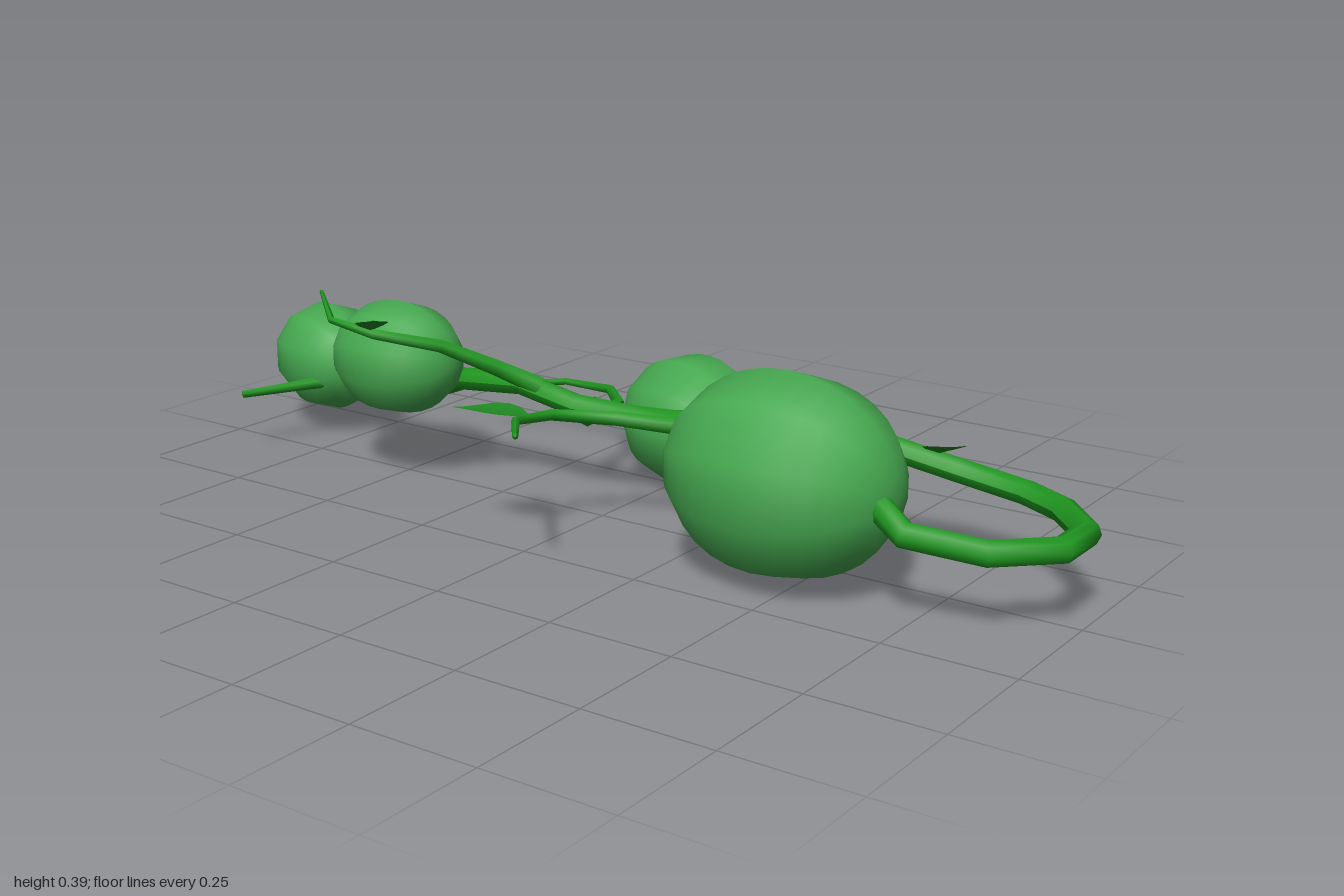
import * as THREE from 'three';

const mat = (name, color, side = THREE.FrontSide) => {
  const m = new THREE.MeshStandardMaterial({ color, side });
  m.name = name;
  return m;
};

// Angular stem through [x, y, z] points, tapering from r0 to r1, closed at both ends
function stemGeometry(points, r0, r1, sides = 8) {
  const p = points.map(a => new THREE.Vector3(...a));
  const last = p.length - 1;
  const cap = (a, b) => a.clone().add(a.clone().sub(b).setLength(0.003));
  const path = [cap(p[0], p[1]), ...p, cap(p[last], p[last - 1])];
  const n = path.length - 1;
  const curve = new THREE.Curve();
  curve.getPoint = (t, target = new THREE.Vector3()) => {
    const i = Math.min(Math.floor(t * n + 1e-9), n - 1);
    return target.lerpVectors(path[i], path[i + 1], t * n - i);
  };
  curve.getUtoTmapping = u => u;
  const geo = new THREE.TubeGeometry(curve, n, 1, sides, false);
  const pos = geo.attributes.position, v = new THREE.Vector3();
  for (let i = 0; i < pos.count; i++) {
    const ring = Math.floor(i / (sides + 1));
    const r = ring === 0 || ring === n ? 0.0005 : r0 + (r1 - r0) * (ring - 1) / last;
    v.fromBufferAttribute(pos, i).sub(path[ring]).multiplyScalar(r).add(path[ring]);
    pos.setXYZ(i, v.x, v.y, v.z);
  }
  geo.computeVertexNormals();
  return geo;
}

// Pointed leaf with a shallow fold along its midrib
function leafGeometry(base, tip, width) {
  const a = new THREE.Vector3(...base), b = new THREE.Vector3(...tip);
  const dir = b.clone().sub(a).normalize();
  const side = dir.clone().cross(new THREE.Vector3(0, 1, 0)).normalize();
  const up = side.clone().cross(dir);
  const widths = [0.05, 0.75, 1, 0.9, 0.55, 0.22, 0];
  const verts = [], index = [];
  widths.forEach((w, i) => {
    const mid = a.clone().lerp(b, i / (widths.length - 1));
    for (const s of [-1, 0, 1]) {
      const q = mid.clone().addScaledVector(side, s * w * width / 2)
        .addScaledVector(up, Math.abs(s) * w * 0.008);
      verts.push(q.x, q.y, q.z);
    }
    if (i > 0) for (const k of [0, 1]) {
      const j = (i - 1) * 3 + k;
      index.push(j, j + 1, j + 3, j + 1, j + 4, j + 3);
    }
  });
  const geo = new THREE.BufferGeometry();
  geo.setAttribute('position', new THREE.Float32BufferAttribute(verts, 3));
  geo.setIndex(index);
  geo.computeVertexNormals();
  return geo;
}

export function createModel() {
  const group = new THREE.Group();
  group.name = 'melonVine';
  const melonMat = mat('melonGreen', 0x46a850);
  const vineMat = mat('vineGreen', 0x1f961f);
  const leafMat = mat('leafGreen', 0x1f8a22, THREE.DoubleSide);
  const add = (name, geo, material) => {
    const mesh = new THREE.Mesh(geo, material);
    mesh.name = name;
    group.add(mesh);
    return mesh;
  };

  // Melons: centre, radii, yaw, roll of the ten-sided section
  const melons = [
    [[-0.1, 0.205, 0.468], [0.182, 0.191, 0.229], 0, Math.PI / 2],
    [[0.277, 0.134, 0.03], [0.135, 0.138, 0.164], -0.25, 0],
    [[-0.038, 0.258, -0.488], [0.115, 0.118, 0.143], 0.1, Math.PI / 2],
    [[0.153, 0.163, -0.86], [0.115, 0.118, 0.145], -0.33, Math.PI / 2],
  ];
  melons.forEach(([c, r, yaw, roll], i) => {
    const geo = new THREE.SphereGeometry(1, 10, 16).rotateX(Math.PI / 2).rotateZ(roll);
    geo.scale(...r).rotateY(yaw);
    add('melon' + (i + 1), geo, melonMat).position.set(...c);
  });

  // Main vine, hooked at the front
  add('mainVine', stemGeometry([
    [-0.13, 0.205, 0.66], [-0.16, 0.165, 0.74], [-0.13, 0.153, 0.88], [-0.04, 0.153, 0.972],
    [0.06, 0.153, 0.972], [0.15, 0.153, 0.89], [0.195, 0.155, 0.8], [0.195, 0.172, 0.66],
    [0.15, 0.205, 0.55], [0.125, 0.225, 0.42], [0.11, 0.208, 0.25], [0.11, 0.185, 0.1],
    [0.11, 0.178, 0], [0.075, 0.19, -0.12], [0.065, 0.217, -0.25], [0.07, 0.2, -0.41],
    [0.14, 0.15, -0.53], [0.148, 0.13, -0.67], [0.125, 0.125, -0.76],
  ], 0.025, 0.024), vineMat);

  // Side branches
  const branches = [
    [[[0.11, 0.2, 0.25], [0.005, 0.215, 0.19], [-0.05, 0.225, 0.07], [-0.15, 0.243, -0.01],
      [-0.27, 0.262, 0], [-0.41, 0.287, 0.11]], 0.019, 0.006],
    [[[0.1, 0.19, -0.09], [0.14, 0.142, -0.14], [0.28, 0.138, -0.16], [0.375, 0.133, -0.25],
      [0.39, 0.126, -0.38], [0.325, 0.11, -0.53]], 0.018, 0.005],
    [[[0.065, 0.217, -0.2], [0.02, 0.255, -0.28], [-0.1, 0.318, -0.32], [-0.165, 0.338, -0.44],
      [-0.155, 0.347, -0.56], [-0.045, 0.368, -0.69]], 0.02, 0.004],
    [[[0.135, 0.128, -0.76], [0.04, 0.13, -0.81], [-0.1, 0.126, -0.88]], 0.017, 0.008],
  ];
  branches.forEach(([pts, r0, r1], i) => add('branch' + (i + 1), stemGeometry(pts, r0, r1, 6), vineMat));

  // Leaves: base, tip, width
  const leaves = [
    [[0.172, 0.205, 0.635], [0.075, 0.255, 0.71], 0.08],
    [[0.125, 0.19, 0.258], [0.247, 0.145, 0.24], 0.09],
    [[-0.22, 0.258, -0.005], [-0.285, 0.268, -0.14], 0.08],
    [[-0.165, 0.345, -0.445], [-0.238, 0.39, -0.37], 0.065],
    [[0.125, 0.145, -0.605], [0.04, 0.2, -0.69], 0.08],
  ];
  leaves.forEach(([a, b, w], i) => add('leaf' + (i + 1), leafGeometry(a, b, w), leafMat));

  return group;
}
